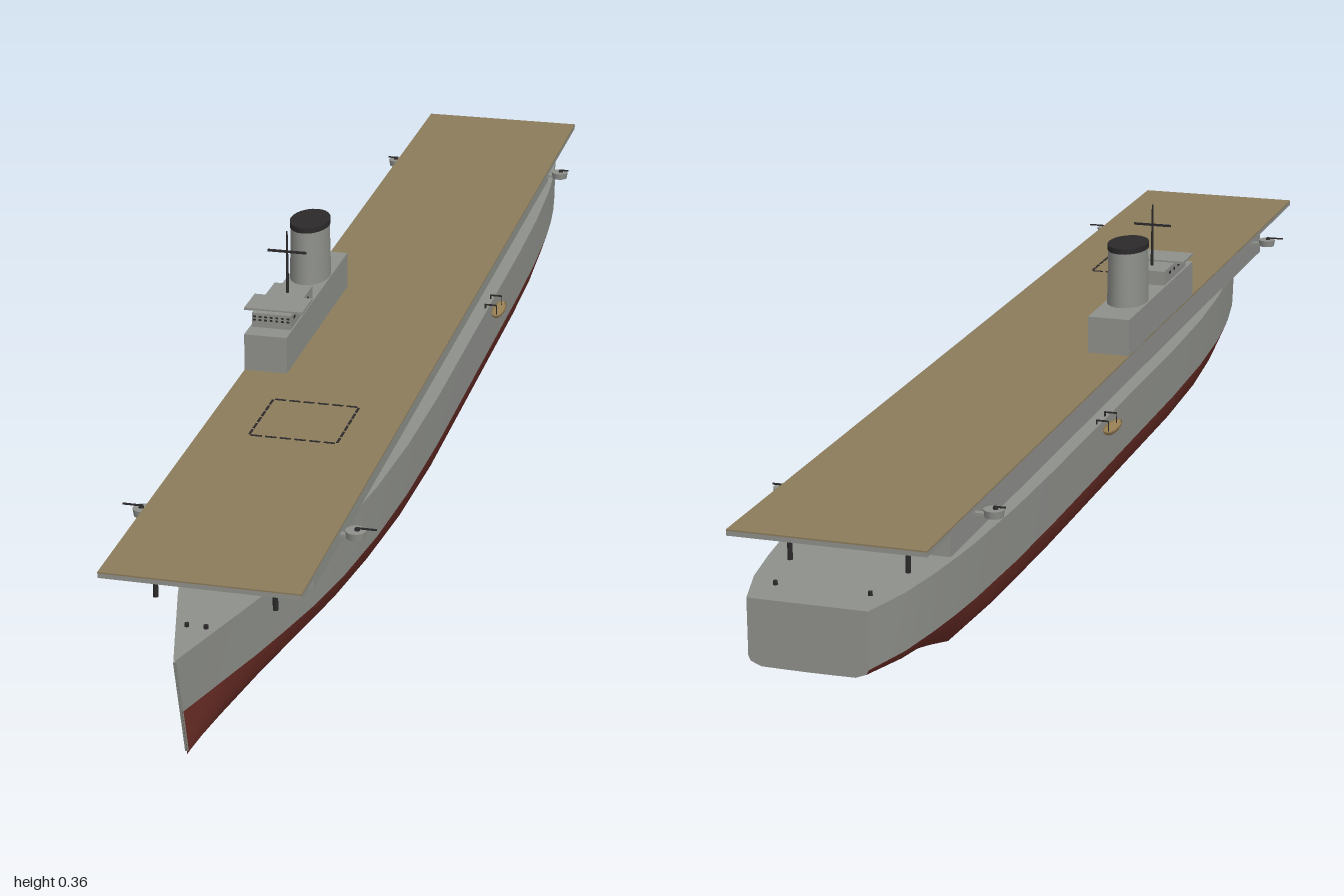
import * as THREE from 'three';

const mat = (name, color, side = THREE.FrontSide) => {
  const m = new THREE.MeshStandardMaterial({ color, side });
  m.name = name;
  return m;
};

export function createModel() {
  const ship = new THREE.Group();
  ship.name = 'aircraftCarrier';
  const grey = mat('hullGrey', 0x8e908b);
  const red = mat('bottomRed', 0x6f2f28);
  const tan = mat('deckTan', 0x8b7b5b);
  const dark = mat('darkMetal', 0x2b2929);
  const wood = mat('boatWood', 0x9a8255, THREE.DoubleSide);

  const add = (name, geo, m, x = 0, y = 0, z = 0, parent = ship) => {
    const mesh = new THREE.Mesh(geo, m);
    mesh.name = name;
    mesh.position.set(x, y, z);
    parent.add(mesh);
    return mesh;
  };
  // box given by its limits
  const box = (name, m, x0, x1, y0, y1, z0, z1, parent) =>
    add(name, new THREE.BoxGeometry(x1 - x0, y1 - y0, z1 - z0), m,
      (x0 + x1) / 2, (y0 + y1) / 2, (z0 + z1) / 2, parent);

  // surface through rows of points, bow to stern
  const skin = (rows) => {
    const n = rows[0].length, pos = rows.flat(2), idx = [];
    for (let i = 0; i < rows.length - 1; i++) {
      for (let j = 0; j < n - 1; j++) {
        const a = i * n + j, b = a + 1, c = a + n, d = c + 1;
        idx.push(a, b, c, b, d, c);
      }
    }
    const g = new THREE.BufferGeometry();
    g.setAttribute('position', new THREE.Float32BufferAttribute(pos, 3));
    g.setIndex(idx);
    g.computeVertexNormals();
    return g;
  };

  // hull stations: z, half width, keel height, fullness of the bottom
  const stations = [
    [1, 0.001, 0, 0.4], [0.95, 0.015, 0, 0.4], [0.895, 0.03, 0, 0.42], [0.83, 0.048, 0, 0.45],
    [0.76, 0.065, 0, 0.48], [0.68, 0.083, 0, 0.52], [0.58, 0.1, 0, 0.57], [0.46, 0.114, 0, 0.62],
    [0.32, 0.123, 0, 0.68], [0.15, 0.127, 0, 0.71], [-0.2, 0.127, 0, 0.71], [-0.45, 0.127, 0, 0.71],
    [-0.6, 0.125, 0, 0.7], [-0.74, 0.119, 0.002, 0.68], [-0.8, 0.114, 0.02, 0.68],
    [-0.86, 0.107, 0.036, 0.7], [-0.93, 0.096, 0.046, 0.74], [-1, 0.076, 0.055, 0.78],
  ];
  const WATER = 0.067;
  const half = ([z, w, keel, full]) => {
    const top = 0.14 + 0.007 * Math.max(0, (z - 0.6) / 0.4);
    const at = (f, y) => {
      const rake = Math.max(0, (z - 0.6) / 0.4) * 0.04 * (1 - y / 0.147);
      return [w * f, y, z - rake];
    };
    const lerp = (t) => keel + (WATER - keel) * t;
    return {
      upper: [at(1, top), at(0.997, WATER)],
      lower: [at(0.997, WATER), at((0.997 + full) / 2 + 0.07, lerp(0.5)), at(full, lerp(0.05)),
        at(full * 0.5, lerp(0.015)), at(0, keel)],
    };
  };
  const mirror = (pts) => pts.map(([x, y, z]) => [-x, y, z]).reverse();
  const halves = stations.map(half);
  add('hullLeftSide', skin(halves.map((h) => h.upper)), grey);
  add('hullRightSide', skin(halves.map((h) => mirror(h.upper))), grey);
  add('hullBottom', skin(halves.map((h) => [...h.lower, ...mirror(h.lower).slice(1)])), red);
  add('mainDeck', skin(halves.map((h) => {
    const [x, y, z] = h.upper[0];
    return [[-x, y, z], [x, y, z]];
  })), grey);

  // flat stern plate
  const last = halves[halves.length - 1];
  const rim = [last.upper[0], ...last.lower];
  const outline = [...rim, ...mirror(rim).slice(1)].map(([x, y]) => new THREE.Vector2(x, y));
  add('transom', new THREE.ShapeGeometry(new THREE.Shape(outline)), grey, 0, 0, -1).rotation.y = Math.PI;

  // stem bar
  const stem = box('stemBar', grey, -0.002, 0.002, 0.003, 0.147, -0.001, 0.001);
  stem.position.z = 0.979;
  stem.rotation.x = Math.atan(0.04 / 0.147);

  // hangar and flight deck
  box('hangar', grey, -0.107, 0.107, 0.138, 0.191, -0.8, 0.765);
  box('flightDeckEdge', grey, -0.127, 0.127, 0.19, 0.196, -0.938, 0.897);
  box('flightDeckPlanking', tan, -0.127, 0.127, 0.196, 0.198, -0.938, 0.897);

  // dashed elevator outline
  const dashes = 6;
  for (let i = 0; i < dashes; i++) {
    const x = -0.06 + 0.12 * (i + 0.5) / dashes, z = 0.342 + 0.123 * (i + 0.5) / dashes;
    for (const s of [-1, 1]) {
      add('elevatorMark', new THREE.BoxGeometry(0.015, 0.001, 0.003), dark, x, 0.1985, 0.4035 + s * 0.0615);
      add('elevatorMark', new THREE.BoxGeometry(0.003, 0.001, 0.015), dark, s * 0.06, 0.1985, z);
    }
  }

  // island
  const island = new THREE.Group();
  island.name = 'island';
  ship.add(island);
  const cx = -0.096;
  box('islandBase', grey, -0.127, -0.066, 0.197, 0.251, -0.095, 0.25, island);
  box('bridge', grey, -0.124, -0.068, 0.25, 0.272, 0.1, 0.22, island);
  box('bridgeWings', grey, -0.138, -0.054, 0.271, 0.2745, 0.155, 0.21, island);
  for (const y of [0.262, 0.267]) {
    for (let i = 0; i < 7; i++) {
      add('bridgeWindow', new THREE.BoxGeometry(0.004, 0.0025, 0.001), dark, cx - 0.024 + i * 0.008, y, 0.2203, island);
    }
  }
  for (const s of [-1, 1]) {
    for (let i = 0; i < 4; i++) {
      add('bridgeSideWindow', new THREE.BoxGeometry(0.001, 0.004, 0.008), dark, cx + s * 0.0282, 0.264, 0.13 + i * 0.024, island);
    }
  }

  // oval funnel, slightly tapered, with a dark cap
  const oval = (name, r1, r0, y0, y1, m) => {
    const o = add(name, new THREE.CylinderGeometry(r1, r0, y1 - y0, 24), m, cx, (y0 + y1) / 2, 0.005, island);
    o.scale.z = 1.5;
  };
  oval('funnel', 0.0275, 0.029, 0.25, 0.331, grey);
  oval('funnelCap', 0.0285, 0.0285, 0.33, 0.338, dark);

  // mast with yard
  add('mast', new THREE.CylinderGeometry(0.0012, 0.0025, 0.092, 8), dark, cx, 0.318, 0.133, island);
  box('yard', dark, cx - 0.028, cx + 0.028, 0.332, 0.335, 0.1315, 0.1345, island);

  // posts under the deck overhangs, gun tubs, boats on both sides
  const hullShape = new THREE.SphereGeometry(1, 12, 6, 0, Math.PI * 2, Math.PI / 2, Math.PI / 2);
  for (const s of [-1, 1]) {
    for (const z of [0.83, -0.865]) {
      add('deckPost', new THREE.CylinderGeometry(0.0035, 0.0035, 0.053, 8), dark, s * 0.076, 0.1645, z);
    }
    for (const z of [0.68, -0.73]) {
      const gun = new THREE.Group();
      gun.name = 'gunTub';
      ship.add(gun);
      add('tub', new THREE.CylinderGeometry(0.0135, 0.012, 0.01, 14), grey, s * 0.139, 0.177, z, gun);
      add('tubBracket', new THREE.BoxGeometry(0.036, 0.004, 0.008), grey, s * 0.119, 0.174, z, gun);
      add('gunMount', new THREE.CylinderGeometry(0.003, 0.004, 0.005, 8), dark, s * 0.141, 0.183, z, gun);
      if (z > 0) add('gunBarrel', new THREE.BoxGeometry(0.026, 0.002, 0.002), dark, s * 0.153, 0.185, z, gun);
      else add('gunBarrel', new THREE.BoxGeometry(0.014, 0.002, 0.002), dark, s * 0.147, 0.185, z, gun);
    }
    const boat = new THREE.Group();
    boat.name = 'lifeboat';
    ship.add(boat);
    add('boatHull', hullShape, wood, s * 0.14, 0.134, -0.22, boat).scale.set(0.01, 0.01, 0.033);
    add('boatFloor', new THREE.BoxGeometry(0.013, 0.001, 0.044), wood, s * 0.14, 0.131, -0.22, boat);
    for (const dz of [-0.02, 0.02]) {
      box('davitArm', dark, s * 0.131 - 0.009, s * 0.131 + 0.009, 0.145, 0.147, -0.221 + dz, -0.219 + dz, boat);
      box('davitPost', dark, s * 0.123 - 0.001, s * 0.123 + 0.001, 0.139, 0.147, -0.221 + dz, -0.219 + dz, boat);
      box('davitFall', dark, s * 0.14 - 0.0005, s * 0.14 + 0.0005, 0.13, 0.146, -0.2205 + dz, -0.2195 + dz, boat);
    }
    // mooring bollards fore and aft
    for (const [x, z] of [[0.012, 0.91], [0.06, -0.95]]) {
      add('bollard', new THREE.CylinderGeometry(0.003, 0.003, 0.006, 8), dark, s * x, z > 0 ? 0.147 : 0.142, z);
    }
  }
  return ship;
}
